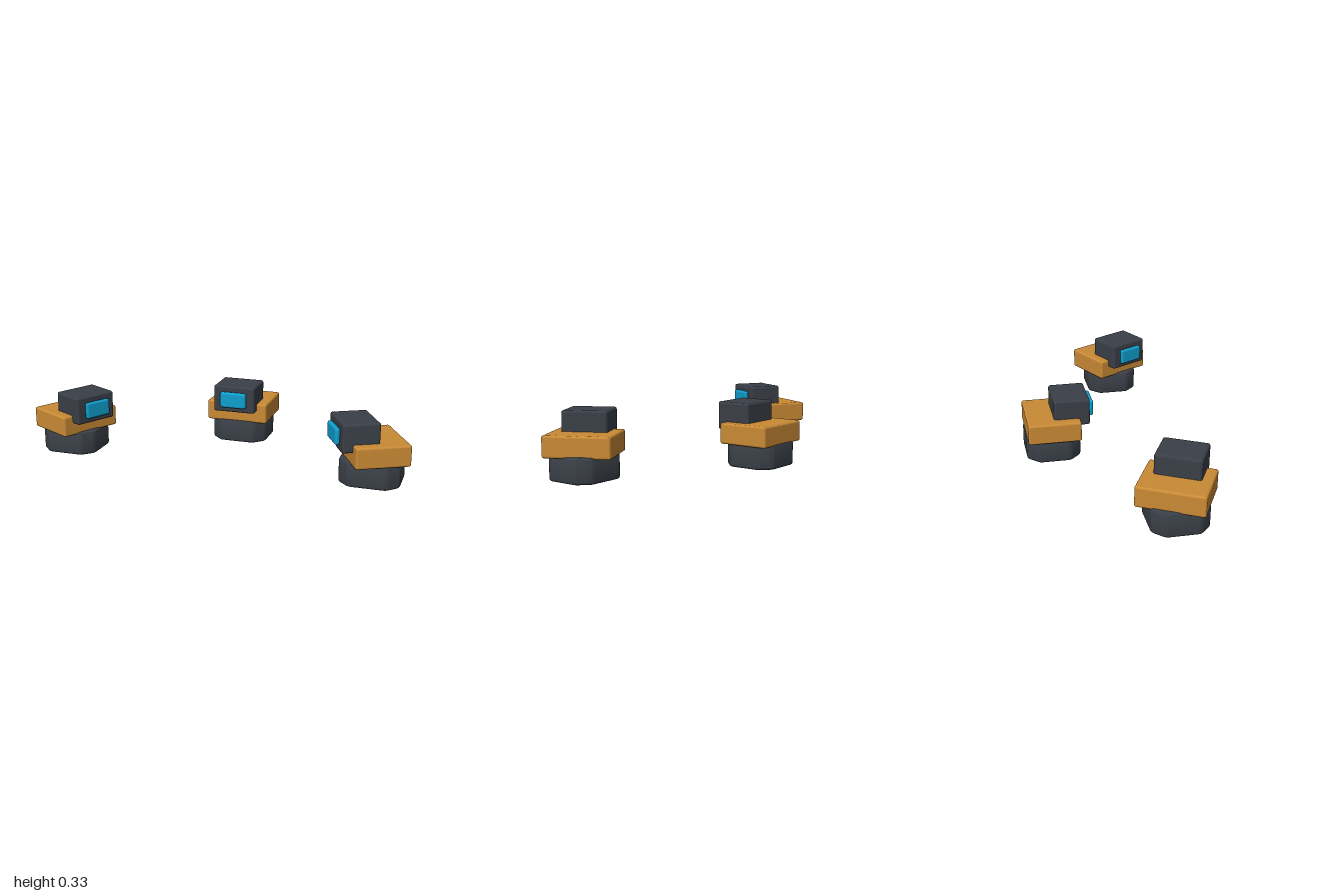
import * as THREE from 'three';
import { RoundedBoxGeometry } from 'three/addons/geometries/RoundedBoxGeometry.js';
import { toCreasedNormals } from 'three/addons/utils/BufferGeometryUtils.js';

const dark = new THREE.MeshStandardMaterial({ color: 0x3a3f47 });
const orange = new THREE.MeshStandardMaterial({ color: 0xc98a35 });
const cyan = new THREE.MeshStandardMaterial({ color: 0x0f9fce });

// Eight-sided plinth: a block with cut vertical corners and a rounded rim
function plinthGeometry(halfX, halfZ, height, cut, bevel) {
  const x = halfX - bevel, z = halfZ - bevel, c = cut;
  const corners = [
    [x - c, -z], [x, -z + c], [x, z - c], [x - c, z],
    [-x + c, z], [-x, z - c], [-x, -z + c], [-x + c, -z],
  ].map(([a, b]) => new THREE.Vector2(a, b));
  const shape = new THREE.Shape();
  const r = 0.012;
  corners.forEach((p, i) => {
    const prev = corners[(i + 7) % 8], next = corners[(i + 1) % 8];
    const a = p.clone().add(prev.clone().sub(p).setLength(r));
    const b = p.clone().add(next.clone().sub(p).setLength(r));
    if (i === 0) shape.moveTo(a.x, a.y); else shape.lineTo(a.x, a.y);
    shape.quadraticCurveTo(p.x, p.y, b.x, b.y);
  });
  shape.closePath();
  const geo = new THREE.ExtrudeGeometry(shape, {
    depth: height - 2 * bevel, bevelEnabled: true, bevelSize: bevel,
    bevelThickness: bevel, bevelSegments: 4, curveSegments: 4,
  });
  geo.rotateX(-Math.PI / 2).translate(0, bevel, 0);
  return toCreasedNormals(geo, Math.PI / 5);
}

function block(name, material, size, position, radius) {
  const mesh = new THREE.Mesh(new RoundedBoxGeometry(...size, 4, radius), material);
  mesh.name = name;
  mesh.position.set(...position);
  return mesh;
}

// One station: fixed plinth below, turned upper part above
function station(name, x, z, turn) {
  const group = new THREE.Group();
  group.name = name;
  group.position.set(x, 0, z);

  const base = new THREE.Mesh(plinthGeometry(0.151, 0.142, 0.127, 0.05, 0.013), dark);
  base.name = 'base';

  const upper = new THREE.Group();
  upper.name = 'upperPart';
  upper.rotation.y = turn;
  upper.add(
    block('body', orange, [0.334, 0.108, 0.276], [0, 0.171, 0], 0.011),
    block('head', dark, [0.228, 0.144, 0.188], [0, 0.255, 0.096], 0.012),
    block('visor', cyan, [0.144, 0.086, 0.026], [0, 0.255, 0.202], 0.0125),
  );
  group.add(base, upper);
  return group;
}

export function createModel() {
  const model = new THREE.Group();
  model.name = 'stationTrio';
  const turn = THREE.MathUtils.degToRad(62);
  model.add(station('centreStation', 0, -0.267, 0));
  for (const side of [-1, 1]) {
    model.add(station(side < 0 ? 'rightStation' : 'leftStation', side * 0.805, 0.203, -side * turn));
  }
  return model;
}
